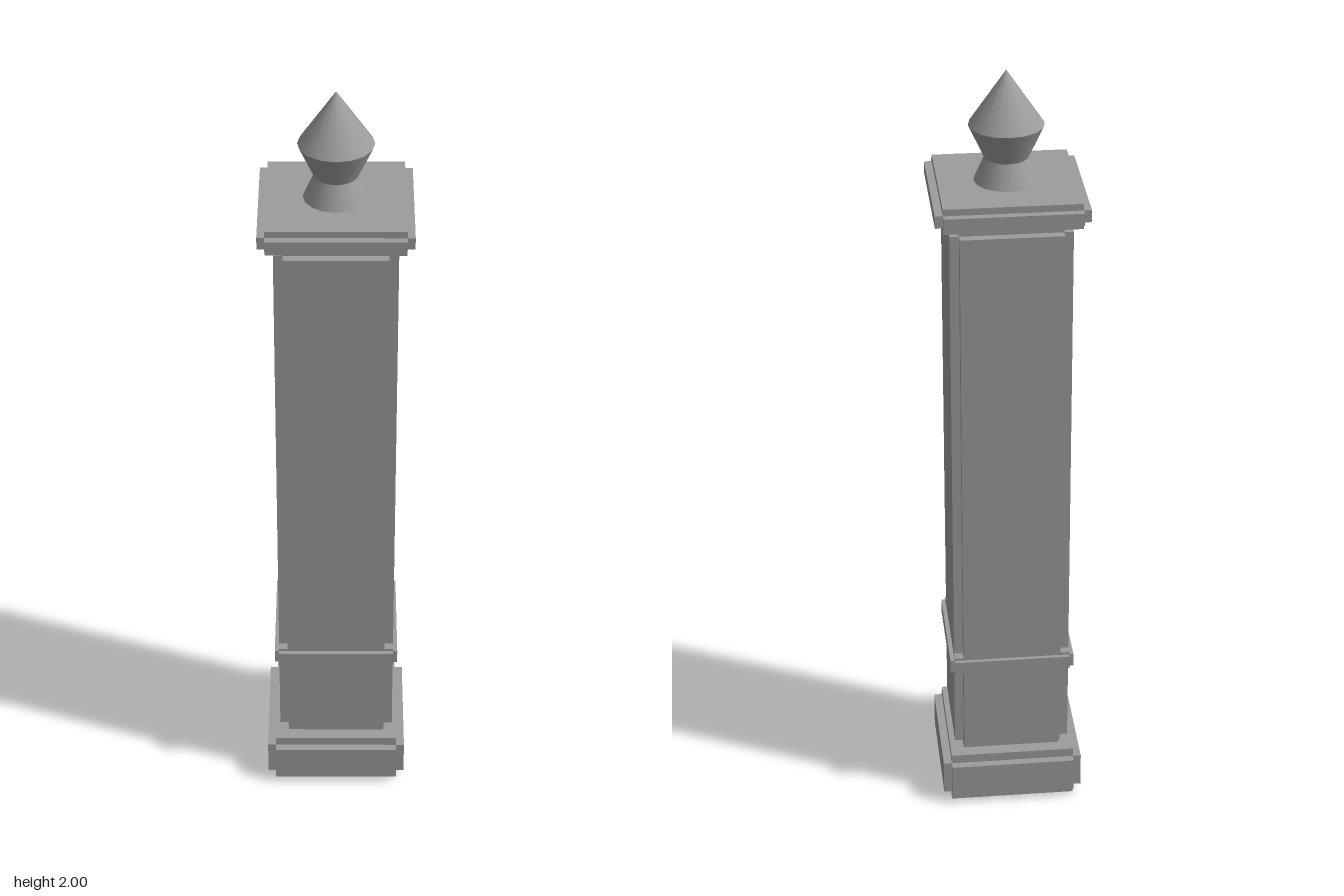
import * as THREE from 'three';

export function createModel() {
  const stone = new THREE.MeshStandardMaterial({ color: 0x9c9c9c });
  stone.name = 'grey stone';
  const model = new THREE.Group();
  model.name = 'stonePost';

  // Square block with a rebate cut along every edge: three crossing boxes.
  // outer/inner are half widths, y0..y1 the full height, lip the rebate height.
  function rebatedBlock(name, outer, inner, y0, y1, lip) {
    const block = new THREE.Group();
    block.name = name;
    const h = y1 - y0;
    const sizes = [
      [inner, h, inner],
      [outer, h - 2 * lip, inner],
      [inner, h - 2 * lip, outer],
    ];
    for (const [x, height, z] of sizes) {
      const mesh = new THREE.Mesh(new THREE.BoxGeometry(2 * x, height, 2 * z), stone);
      mesh.name = name + 'Slab';
      mesh.position.y = (y0 + y1) / 2;
      block.add(mesh);
    }
    model.add(block);
  }

  rebatedBlock('base', 0.183, 0.162, 0, 0.14, 0.024);
  rebatedBlock('shaft', 0.15, 0.127, 0.135, 1.66, 0.03);
  rebatedBlock('band', 0.161, 0.15, 0.39, 0.44, 0.007);
  rebatedBlock('cap', 0.187, 0.168, 1.655, 1.72, 0.017);

  // Finial: stacked conical rings, smooth around with sharp rims
  const finial = new THREE.Group();
  finial.name = 'finial';
  const rings = [
    ['finialFoot', 0.08, 1.72, 0.054, 1.78],
    ['finialFlare', 0.054, 1.78, 0.0925, 1.863],
    ['finialPoint', 0.0925, 1.863, 0, 2],
  ];
  for (const [name, r0, y0, r1, y1] of rings) {
    const mesh = new THREE.Mesh(new THREE.CylinderGeometry(r1, r0, y1 - y0, 16, 1, true), stone);
    mesh.name = name;
    mesh.position.y = (y0 + y1) / 2;
    finial.add(mesh);
  }
  model.add(finial);

  return model;
}
